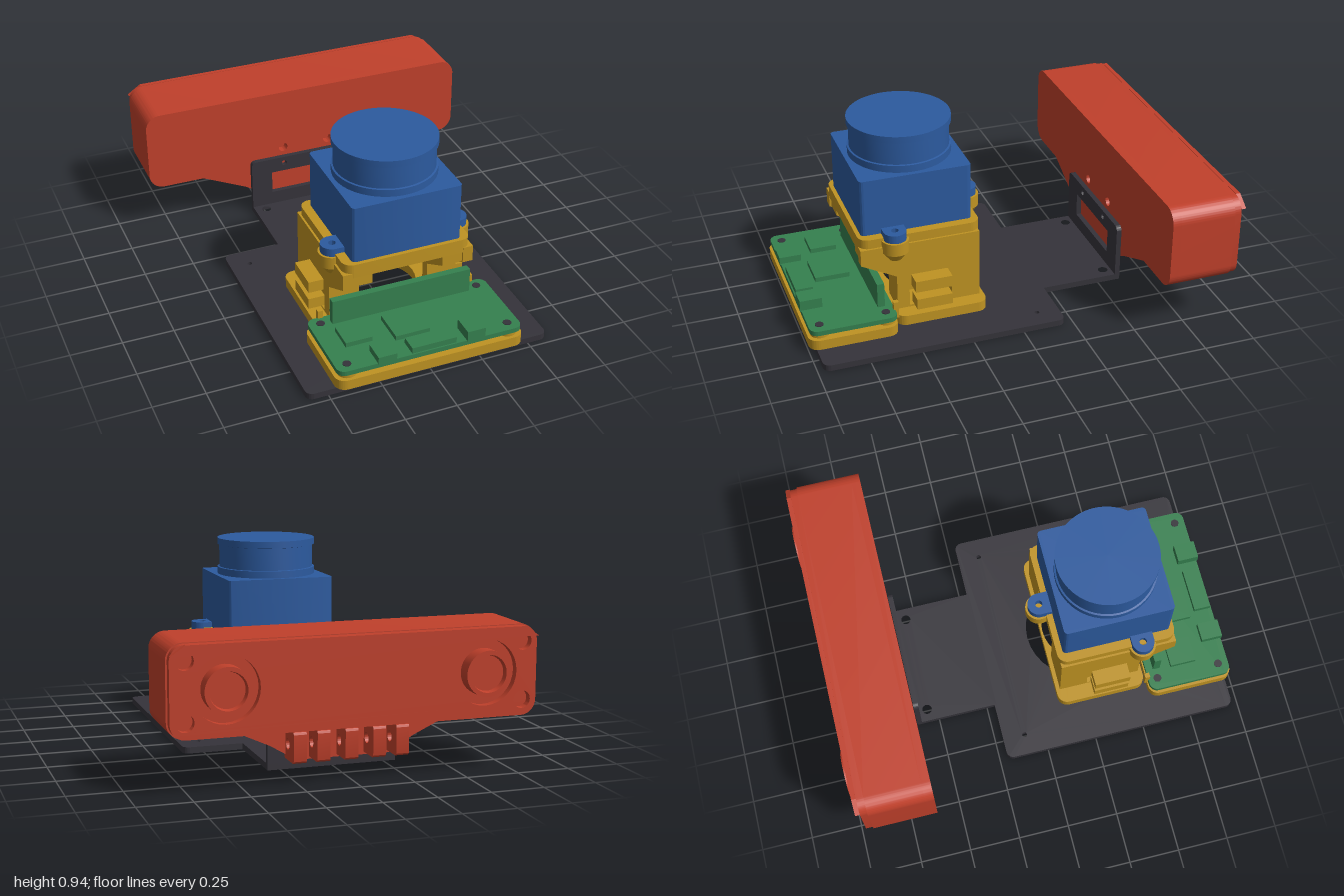
import * as THREE from 'three';
import { toCreasedNormals } from 'three/addons/utils/BufferGeometryUtils.js';

const paint = (name, color) => {
  const m = new THREE.MeshStandardMaterial({ color });
  m.name = name;
  return m;
};

// Rounded rectangle between two corners
function roundRect(x0, y0, x1, y1, r) {
  const s = new THREE.Shape();
  s.absarc(x1 - r, y1 - r, r, 0, Math.PI / 2);
  s.absarc(x0 + r, y1 - r, r, Math.PI / 2, Math.PI);
  s.absarc(x0 + r, y0 + r, r, Math.PI, Math.PI * 1.5);
  s.absarc(x1 - r, y0 + r, r, Math.PI * 1.5, Math.PI * 2);
  s.closePath();
  return s;
}
const poly = (pts) => new THREE.Shape(pts.map((p) => new THREE.Vector2(...p)));
const circle = (x, y, r) => new THREE.Path().absarc(x, y, r, 0, Math.PI * 2, true);
const rect = (x0, y0, x1, y1) => poly([[x0, y0], [x0, y1], [x1, y1], [x1, y0]]);
const cut = (shape, ...holes) => { shape.holes.push(...holes); return shape; };
const extrude = (shape, depth) =>
  toCreasedNormals(new THREE.ExtrudeGeometry(shape, { depth, bevelEnabled: false, curveSegments: 16 }), 0.6);

// Three extrusion directions; plan shapes are drawn in (x, -z), side shapes in (z, y)
const plan = (shape, y0, y1) => extrude(shape, y1 - y0).rotateX(-Math.PI / 2).translate(0, y0, 0);
const face = (shape, z0, z1) => extrude(shape, z1 - z0).translate(0, 0, z0);
const side = (shape, x0, x1) => extrude(shape, x1 - x0).rotateY(-Math.PI / 2).translate(x1, 0, 0);
const box = (x0, x1, y0, y1, z0, z1) =>
  new THREE.BoxGeometry(x1 - x0, y1 - y0, z1 - z0).translate((x0 + x1) / 2, (y0 + y1) / 2, (z0 + z1) / 2);
const cyl = (x, z, y0, y1, rTop, rBottom = rTop) =>
  new THREE.CylinderGeometry(rTop, rBottom, y1 - y0, 32).translate(x, (y0 + y1) / 2, z);

export function createModel() {
  const dark = paint('charcoal', 0x35333a);
  const red = paint('red', 0xc0402b);
  const blue = paint('blue', 0x2c5a9e);
  const ochre = paint('ochre', 0xbf9322);
  const green = paint('green', 0x35804f);
  const model = new THREE.Group();
  const group = (name) => {
    const g = new THREE.Group();
    g.name = name;
    model.add(g);
    return g;
  };
  const add = (parent, name, geo, mat) => {
    const m = new THREE.Mesh(geo, mat);
    m.name = name;
    parent.add(m);
  };

  // Base plate with neck and upright tab
  const plate = group('basePlate');
  const deck = cut(roundRect(-0.6, -0.97, 0.6, 0.21, 0.035),
    circle(0, -0.31, 0.27), rect(-0.23, -0.89, 0.23, -0.79));
  for (const s of [-1, 1]) {
    cut(deck, rect(s * 0.35 - 0.02, -0.51, s * 0.35 + 0.02, -0.38),
      circle(s * 0.4, -0.94, 0.015), circle(s * 0.4, -0.62, 0.015), circle(s * 0.5, 0.1, 0.012));
  }
  add(plate, 'deck', plan(deck, 0, 0.03), dark);
  const neck = cut(rect(-0.31, 0.2, 0.31, 0.615), circle(-0.25, 0.55, 0.024), circle(0.25, 0.55, 0.024));
  add(plate, 'neck', plan(neck, 0, 0.03), dark);
  const tab = cut(roundRect(-0.31, 0, 0.31, 0.3, 0.025), rect(-0.2, 0.1, 0.2, 0.22),
    circle(-0.13, 0.265, 0.014), circle(0.13, 0.265, 0.014));
  add(plate, 'uprightTab', face(tab, -0.615, -0.59), dark);

  // Wide sensor bar facing backwards
  const bar = group('sensorBar');
  const outline = () => roundRect(-0.85, 0.254, 0.85, 0.668, 0.075);
  add(bar, 'frontShell', face(cut(outline(), circle(-0.125, 0.345, 0.024), circle(0.125, 0.345, 0.024)),
    -0.66, -0.617), red);
  add(bar, 'body', face(outline(), -0.93, -0.66), red);
  const back = roundRect(-0.842, 0.258, 0.842, 0.664, 0.07);
  for (const s of [-1, 1]) {
    cut(back, circle(s * 0.595, 0.463, 0.15), circle(s * 0.775, 0.33, 0.04), circle(s * 0.775, 0.595, 0.04));
  }
  add(bar, 'backShell', face(back, -0.965, -0.93), red);
  add(bar, 'topLip', face(poly([[-0.842, 0.62], [0.842, 0.62], [0.775, 0.666], [-0.775, 0.666]]),
    -0.987, -0.965), red);
  for (const s of [-1, 1]) {
    const ring = new THREE.LatheGeometry([[0, 0.045], [0.08, 0.045], [0.085, 0.07], [0.105, 0.07], [0.105, 0]]
      .reverse().map((p) => new THREE.Vector2(...p)), 40);
    const lens = toCreasedNormals(ring, 0.5).rotateX(-Math.PI / 2).translate(s * 0.595, 0.463, -0.93);
    add(bar, 'lensRing', lens, red);
  }
  // Tapered foot and hinge lugs under the bar
  add(bar, 'taperedFoot', face(poly([[-0.58, 0.26], [-0.34, 0.15], [-0.22, 0.078], [0.22, 0.078],
    [0.34, 0.15], [0.58, 0.26]]), -0.755, -0.617), red);
  for (const x of [-0.24, -0.13, 0, 0.13, 0.24]) {
    const lug = cut(roundRect(-0.875, 0.09, -0.74, 0.235, 0.015), circle(-0.79, 0.163, 0.025));
    add(bar, 'hingeLug', side(lug, x - 0.03, x + 0.03), red);
  }

  // Scanner head
  const head = group('scannerHead');
  add(head, 'housing', plan(roundRect(-0.27, -0.69, 0.27, -0.15, 0.02), 0.46, 0.76), blue);
  const drum = [[0, 0.76], [0.247, 0.76], [0.247, 0.795], [0.238, 0.797], [0.238, 0.908],
    [0.247, 0.91], [0.247, 0.943], [0, 0.943]].map((p) => new THREE.Vector2(...p));
  add(head, 'drum', toCreasedNormals(new THREE.LatheGeometry(drum, 64), 0.5).translate(0, 0, 0.42), blue);
  add(head, 'connector', box(-0.07, 0.07, 0.3, 0.47, 0.2, 0.5), blue);
  const lugs = [[0.31, 0.54, -Math.PI / 2], [-0.31, 0.54, Math.PI / 2], [0, 0.095, 0]];
  for (const [x, z, turn] of lugs) {
    const ear = new THREE.Shape();
    ear.moveTo(-0.055, -0.08);
    ear.lineTo(0.055, -0.08);
    ear.absarc(0, 0, 0.055, 0, Math.PI);
    ear.closePath();
    cut(ear, circle(0, 0, 0.018));
    add(head, 'mountEar', plan(ear, 0.462, 0.503).rotateY(turn).translate(x, 0, z), blue);
  }

  // Stand carrying the head
  const stand = group('stand');
  const foot = cut(roundRect(-0.4, -0.56, 0.4, -0.11, 0.05), circle(0, -0.32, 0.2));
  add(stand, 'foot', plan(foot, 0.03, 0.08), ochre);
  const frame = cut(roundRect(-0.315, -0.71, 0.315, -0.12, 0.05), rect(-0.24, -0.65, 0.24, -0.19));
  add(stand, 'topFrame', plan(frame, 0.405, 0.476), ochre);
  for (const [x, z] of lugs) {
    add(stand, 'earBoss', cyl(x, z, 0.4, 0.462, 0.066), ochre);
    add(stand, 'bossTaper', cyl(x * 0.98, z, 0.355, 0.4, 0.066, 0.035), ochre);
  }
  add(stand, 'rearBossBridge', box(-0.06, 0.06, 0.405, 0.462, 0.09, 0.15), ochre);
  for (const s of [-1, 1]) {
    const wall = cut(poly([[0.13, 0.05], [0.54, 0.05], [0.54, 0.26], [0.71, 0.35], [0.71, 0.43], [0.13, 0.43]]),
      rect(0.27, 0.09, 0.48, 0.175));
    add(stand, 'sideWall', side(wall, s * 0.3 - 0.025, s * 0.3 + 0.025), ochre);
    add(stand, 'rearPost', box(s * 0.225 - 0.085, s * 0.225 + 0.085, 0.05, 0.43, 0.13, 0.18), ochre);
    const gusset = poly([[0.49, 0.05], [0.54, 0.05], [0.54, 0.26], [0.7, 0.35], [0.7, 0.42], [0.66, 0.42], [0.49, 0.3]]);
    add(stand, 'frontGusset', side(gusset, s * 0.235 - 0.06, s * 0.235 + 0.06), ochre);
    add(stand, 'upperClip', box(s * 0.36 - 0.04, s * 0.36 + 0.04, 0.2, 0.258, 0.29, 0.47), ochre);
    add(stand, 'lowerClip', box(s * 0.36 - 0.04, s * 0.36 + 0.04, 0.105, 0.16, 0.29, 0.465), ochre);
  }

  // Tray under the circuit board
  const tray = group('boardTray');
  add(tray, 'tray', plan(cut(roundRect(-0.465, -1, 0.465, -0.57, 0.05), rect(-0.23, -0.88, 0.23, -0.68)),
    0.03, 0.08), ochre);
  for (const s of [-1, 1]) {
    for (const z of [0.62, 0.94]) {
      add(tray, 'standoff', cyl(s * 0.4, z, 0.08, 0.102, 0.045), ochre);
      add(tray, 'screw', cyl(s * 0.4, z, 0.1, 0.129, 0.02), dark);
    }
    add(tray, 'clipPost', box(s * 0.385 - 0.012, s * 0.385 + 0.012, 0.08, 0.165, 0.555, 0.58), ochre);
  }

  // Circuit board and its components
  const board = group('circuitBoard');
  add(board, 'board', plan(roundRect(-0.457, -0.992, 0.457, -0.573, 0.04), 0.102, 0.126), green);
  add(board, 'uprightBoard', box(-0.35, 0.35, 0.12, 0.25, 0.61, 0.645), green);
  const parts = [
    [-0.36, -0.23, 0.15, 0.7, 0.83], [-0.13, 0.04, 0.15, 0.7, 0.87],
    [-0.27, -0.18, 0.16, 0.89, 0.997], [-0.1, 0.12, 0.155, 0.9, 0.985], [0.17, 0.26, 0.176, 0.89, 0.997],
  ];
  for (const [x0, x1, top, z0, z1] of parts) add(board, 'component', box(x0, x1, 0.12, top, z0, z1), green);

  return model;
}
